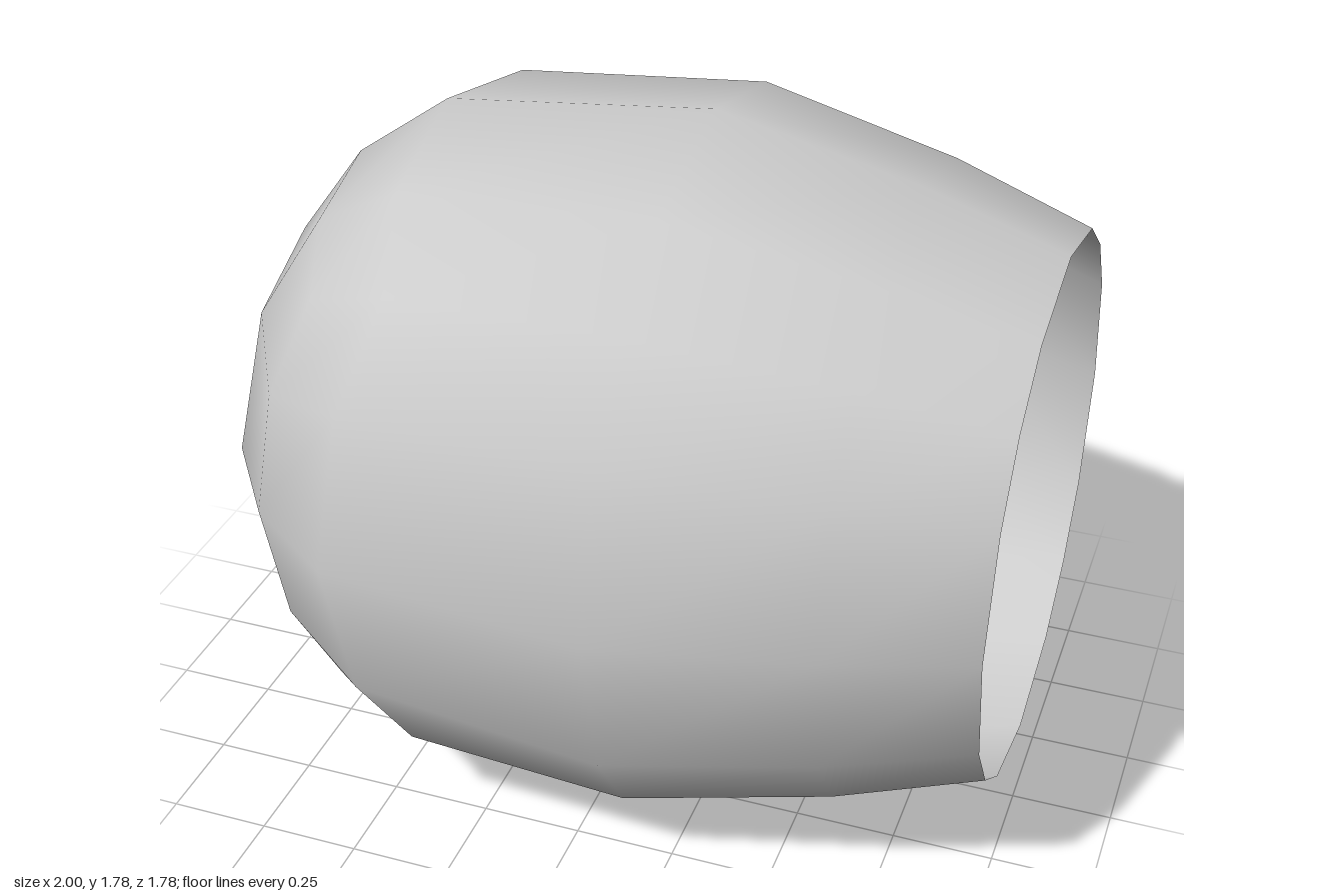
import * as THREE from 'three';
import { mergeVertices } from 'three/addons/utils/BufferGeometryUtils.js';

const CENTRE_Y = 0.89;
const DOME = { x: -0.085, radius: 0.915 };
// rings of the open half, keyed by the x of the box grid: [x, radius]
const RINGS = { 0: [0.17, 0.89], 0.5: [0.66, 0.775], 1: [1, 0.66] };

function createShellGeometry() {
  // 4 x 4 x 4 box without its +x face (the first 16 quads)
  const geometry = new THREE.BoxGeometry(2, 2, 2, 4, 4, 4);
  geometry.setIndex(Array.from(geometry.index.array).slice(16 * 6));
  geometry.clearGroups();
  geometry.deleteAttribute('normal');
  geometry.deleteAttribute('uv');

  const position = geometry.attributes.position;
  const p = new THREE.Vector3();
  for (let i = 0; i < position.count; i++) {
    p.fromBufferAttribute(position, i);
    if (p.x < -0.01) {
      // closed end: project onto a sphere
      p.setLength(DOME.radius);
      p.x += DOME.x;
    } else {
      // open end: flat round rings narrowing to the rim
      const [x, radius] = RINGS[Math.round(p.x * 2) / 2];
      p.x = 0;
      p.setLength(radius);
      p.x = x;
    }
    position.setXYZ(i, p.x, p.y, p.z);
  }

  const merged = mergeVertices(geometry, 1e-4);
  merged.computeVertexNormals();
  return merged;
}

export function createModel() {
  const group = new THREE.Group();
  group.name = 'openShell';
  const material = new THREE.MeshStandardMaterial({ color: 0xcccccc, side: THREE.DoubleSide });
  const shell = new THREE.Mesh(createShellGeometry(), material);
  shell.name = 'shell';
  shell.position.y = CENTRE_Y;
  group.add(shell);
  return group;
}
